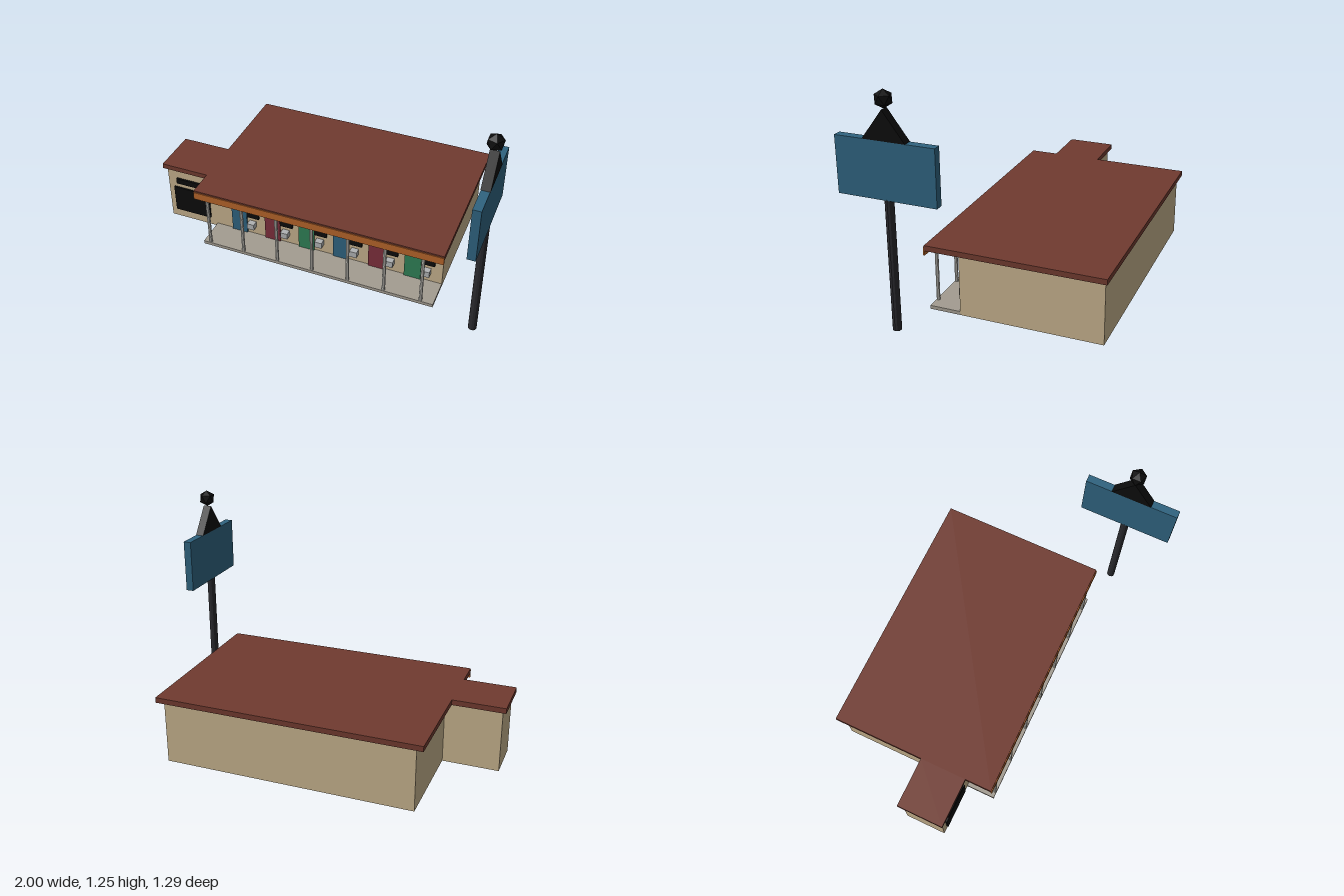
import * as THREE from 'three';

const paint = (color) => new THREE.MeshStandardMaterial({ color, flatShading: true });
const MAT = {
  wall: paint(0xc4b08c), roof: paint(0x703a2f), fascia: paint(0xb5642a),
  slab: paint(0xa39c91), post: paint(0xd6d4cc), black: paint(0x0c0c0c),
  pole: paint(0x2a2a2e), blue: paint(0x2f637f), red: paint(0x7d2f3c),
  green: paint(0x2f7f56), brass: paint(0xc39a28), grey: paint(0xb0b2b3),
};

export function createModel() {
  const model = new THREE.Group();
  model.name = 'motel';

  const add = (parent, name, geometry, material) => {
    const mesh = new THREE.Mesh(geometry, material);
    mesh.name = name;
    parent.add(mesh);
    return mesh;
  };
  // Box given by its lower and upper limits on each axis
  const box = (parent, name, material, [x0, x1], [y0, y1], [z0, z1]) => {
    const mesh = add(parent, name, new THREE.BoxGeometry(x1 - x0, y1 - y0, z1 - z0), material);
    mesh.position.set((x0 + x1) / 2, (y0 + y1) / 2, (z0 + z1) / 2);
    return mesh;
  };

  // Main building and office
  const wallY = [0, 0.353], roofY = [0.353, 0.383], front = 0.15;
  box(model, 'roomBlock', MAT.wall, [-0.67, 0.72], wallY, [-0.625, front]);
  box(model, 'office', MAT.wall, [-0.98, -0.67], wallY, [-0.09, front]);
  box(model, 'mainRoof', MAT.roof, [-0.71, 0.76], roofY, [-0.645, 0.322]);
  box(model, 'officeRoof', MAT.roof, [-1, -0.71], roofY, [-0.108, 0.166]);
  box(model, 'fascia', MAT.fascia, [-0.71, 0.76], [0.328, 0.374], [0.318, 0.327]);
  box(model, 'walkway', MAT.slab, [-0.675, 0.72], [0, 0.02], [front, 0.322]);
  box(model, 'officeWindow', MAT.black, [-0.944, -0.714], [0.056, 0.226], [front, 0.16]);
  box(model, 'officeSign', MAT.black, [-0.922, -0.735], [0.258, 0.293], [front, 0.162]);

  // Porch posts
  const step = 0.2135;
  for (let i = 0; i < 7; i++) {
    const post = add(model, 'porchPost', new THREE.CylinderGeometry(0.01, 0.01, 0.333, 8), MAT.post);
    post.position.set(-0.634 + i * step, 0.1865, 0.312);
  }

  // Rooms: door, number plate, window and air conditioner
  const doorColors = [MAT.blue, MAT.red, MAT.green];
  for (let i = 0; i < 6; i++) {
    const room = new THREE.Group();
    room.name = 'room';
    room.position.x = -0.519 + i * step;
    box(room, 'door', doorColors[i % 3], [-0.048, 0.048], [0.02, 0.235], [front, 0.16]);
    box(room, 'numberPlate', MAT.brass, [-0.016, 0.016], [0.193, 0.216], [0.16, 0.169]);
    box(room, 'window', MAT.black, [0.05, 0.126], [0.14, 0.217], [front, 0.162]);
    box(room, 'airConditioner', MAT.grey, [0.062, 0.105], [0.074, 0.112], [front, 0.187]);
    model.add(room);
  }

  // Roadside sign
  const sign = new THREE.Group();
  sign.name = 'roadSign';
  sign.position.set(0.957, 0, 0.382);
  model.add(sign);
  add(sign, 'signPole', new THREE.CylinderGeometry(0.023, 0.023, 0.71, 12), MAT.pole).position.y = 0.355;
  box(sign, 'signBoard', MAT.blue, [-0.022, 0.022], [0.706, 1.004], [-0.265, 0.265]);

  // Triangular crest on the board
  const triangle = new THREE.Shape([
    new THREE.Vector2(-0.114, 0), new THREE.Vector2(0.114, 0), new THREE.Vector2(0, 0.154),
  ]);
  const crest = new THREE.ExtrudeGeometry(triangle, { depth: 0.048, bevelEnabled: false });
  crest.translate(0, 0, -0.024).rotateY(Math.PI / 2);
  add(sign, 'signCrest', crest, MAT.black).position.y = 1.004;

  // Faceted ball, turned to stand on one corner
  const ball = new THREE.IcosahedronGeometry(0.047, 0);
  ball.rotateZ(-Math.atan(2 / (1 + Math.sqrt(5))));
  add(sign, 'signBall', ball, MAT.black).position.y = 1.204;

  return model;
}
